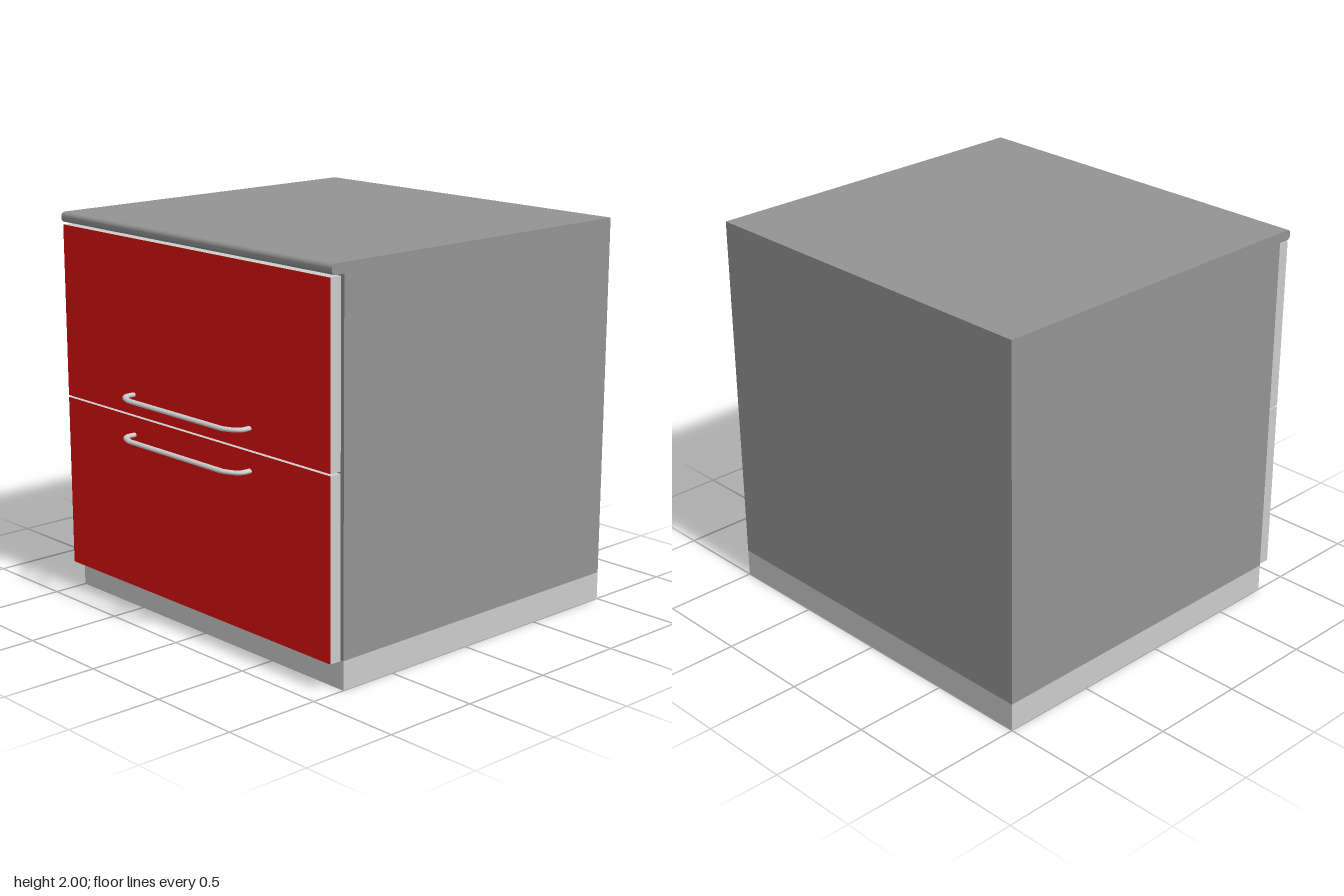
import * as THREE from 'three';

const paint = (color) => new THREE.MeshStandardMaterial({ color });

// Box given by its minimum and maximum corners
function block(name, [x0, y0, z0], [x1, y1, z1], material) {
  const mesh = new THREE.Mesh(new THREE.BoxGeometry(x1 - x0, y1 - y0, z1 - z0), material);
  mesh.position.set((x0 + x1) / 2, (y0 + y1) / 2, (z0 + z1) / 2);
  mesh.name = name;
  return mesh;
}

// Worktop: side profile with a rounded front edge, extruded across the width
function makeWorktop(material) {
  const back = -1, front = 0.89, bottom = 1.948, top = 2, r = 0.022;
  const s = new THREE.Shape();
  s.moveTo(-back, bottom);
  s.lineTo(-back, top);
  s.lineTo(-front + r, top);
  s.absarc(-front + r, top - r, r, Math.PI / 2, Math.PI, false);
  s.absarc(-front + r, bottom + r, r, Math.PI, Math.PI * 1.5, false);
  s.closePath();
  const geometry = new THREE.ExtrudeGeometry(s, { depth: 2, bevelEnabled: false, curveSegments: 6 });
  geometry.rotateY(Math.PI / 2).translate(-1, 0, 0); // profile x becomes -z
  const mesh = new THREE.Mesh(geometry, material);
  mesh.name = 'worktop';
  return mesh;
}

// Bow handle: flattened tube with two legs and rounded corners
function makeHandle(y, material) {
  const v = (x, z) => new THREE.Vector3(x, 0, z);
  const legX = 0.438, barX = 0.35, root = 0.88, bend = 0.925, barZ = 0.984;
  const path = new THREE.CurvePath();
  path.add(new THREE.LineCurve3(v(-legX, root), v(-legX, bend)));
  path.add(new THREE.QuadraticBezierCurve3(v(-legX, bend), v(-legX + 0.01, 0.965), v(-barX, barZ)));
  path.add(new THREE.LineCurve3(v(-barX, barZ), v(barX, barZ)));
  path.add(new THREE.QuadraticBezierCurve3(v(barX, barZ), v(legX - 0.01, 0.965), v(legX, bend)));
  path.add(new THREE.LineCurve3(v(legX, bend), v(legX, root)));
  const geometry = new THREE.TubeGeometry(path, 64, 0.016, 10, false);
  geometry.scale(1, 0.72, 1);
  const mesh = new THREE.Mesh(geometry, material);
  mesh.position.y = y;
  mesh.name = 'handle';
  return mesh;
}

export function createModel() {
  const group = new THREE.Group();
  group.name = 'drawerCabinet';
  const light = paint(0xcccccc), dark = paint(0x939393), red = paint(0xe01010);

  // Base, carcass and worktop
  group.add(block('plinth', [-1, 0, -1], [1, 0.145, 0.815], light));
  group.add(block('carcass', [-1, 0.145, -1], [1, 1.948, 0.815], dark));
  group.add(makeWorktop(dark));

  // Drawers: grey edges, red face, one handle each near the middle seam
  const faces = [light, light, light, light, red, light];
  for (const [name, y0, y1, handleY] of [
    ['lowerDrawer', 0.145, 1.04, 0.947],
    ['upperDrawer', 1.05, 1.938, 1.153],
  ]) {
    const drawer = new THREE.Group();
    drawer.name = name;
    drawer.add(block('drawerFront', [-0.99, y0, 0.825], [0.99, y1, 0.887], faces));
    drawer.add(makeHandle(handleY, light));
    group.add(drawer);
  }
  return group;
}
